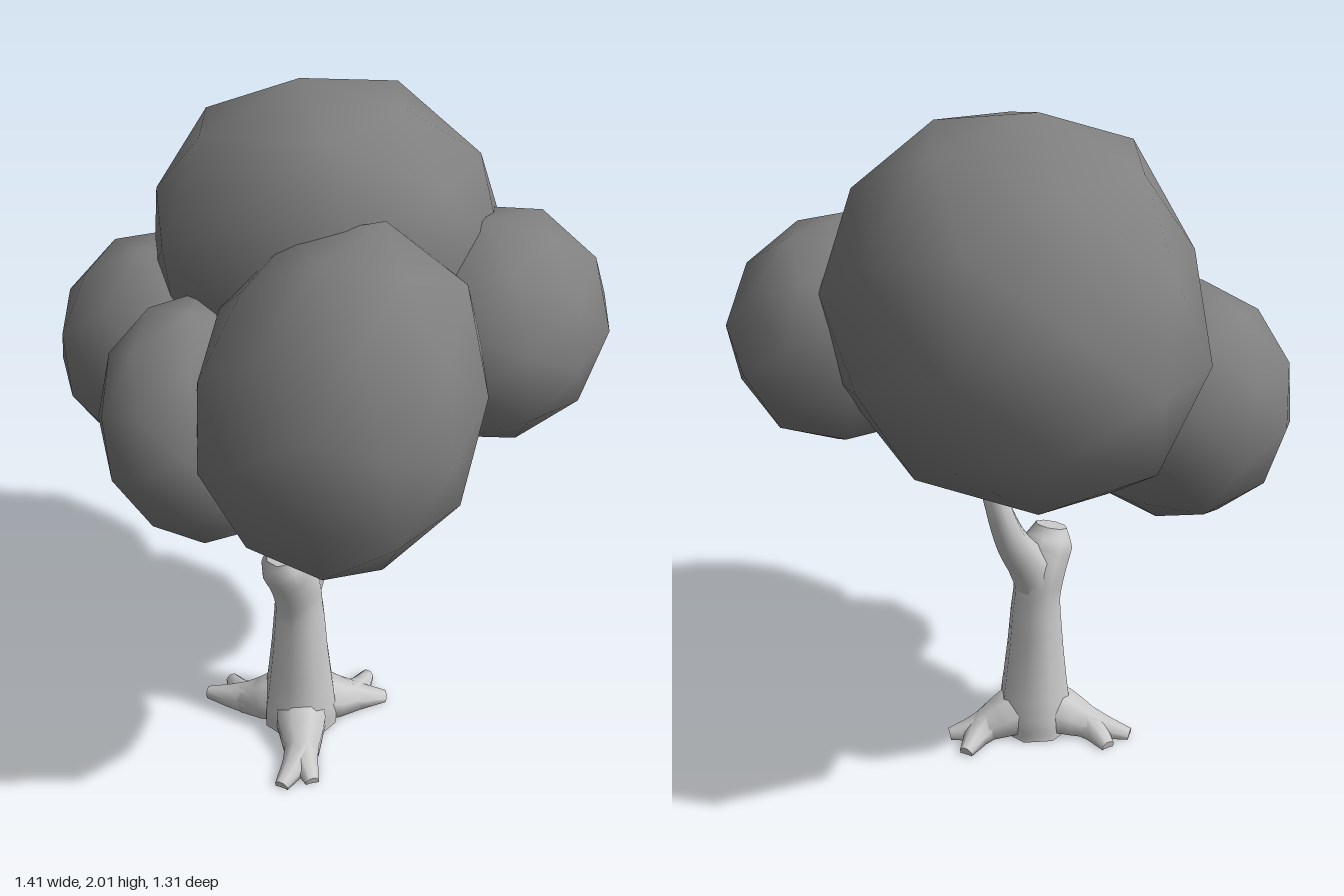
import * as THREE from 'three';
import { mergeVertices } from 'three/addons/utils/BufferGeometryUtils.js';

const bark = new THREE.MeshStandardMaterial({ color: 0xcccccc });
const leaf = new THREE.MeshStandardMaterial({ color: 0x808080 });

// Tapered limb swept through stations [x, y, z, radius], closed at both ends
function limbGeometry(stations, sides = 8, steps = 3) {
  const path = new THREE.CatmullRomCurve3(stations.map(s => new THREE.Vector3(s[0], s[1], s[2])), false, 'centripetal');
  const rings = (stations.length - 1) * steps;
  const span = path.getPoint(1).sub(path.getPoint(0));
  const ref = Math.abs(span.y) > 0.6 * span.length() ? new THREE.Vector3(0, 0, 1) : new THREE.Vector3(0, 1, 0);
  const pos = [], index = [];
  const ring = i => {
    const t = i / rings, k = Math.min(Math.floor(i / steps), stations.length - 2);
    const r = THREE.MathUtils.lerp(stations[k][3], stations[k + 1][3], i / steps - k);
    const c = path.getPoint(t), tan = path.getTangent(t);
    const u = new THREE.Vector3().crossVectors(ref, tan).normalize();
    const v = new THREE.Vector3().crossVectors(tan, u);
    for (let j = 0; j < sides; j++) {
      const a = (j + 0.5) / sides * Math.PI * 2;
      const p = c.clone().addScaledVector(u, r * Math.cos(a)).addScaledVector(v, r * Math.sin(a));
      pos.push(p.x, Math.max(0, p.y), p.z);
    }
    return c;
  };
  for (let i = 0; i <= rings; i++) {
    ring(i);
    for (let j = 0; j < sides && i < rings; j++) {
      const a = i * sides + j, b = i * sides + (j + 1) % sides;
      index.push(a, b, b + sides, a, b + sides, a + sides);
    }
  }
  // end caps on their own vertices, so their rims stay sharp
  for (const [i, flip] of [[0, true], [rings, false]]) {
    const base = pos.length / 3, c = ring(i);
    pos.push(c.x, Math.max(0, c.y), c.z);
    for (let j = 0; j < sides; j++) {
      const a = base + j, b = base + (j + 1) % sides;
      index.push(...(flip ? [b, a, base + sides] : [a, b, base + sides]));
    }
  }
  const g = new THREE.BufferGeometry();
  g.setAttribute('position', new THREE.Float32BufferAttribute(pos, 3));
  g.setIndex(index);
  g.computeVertexNormals();
  return g;
}

// Low-poly ellipsoid crown, turned before scaling; lean shears y along x and z,
// and each bulge [x, y, z, amount] swells (or flattens) the side facing that way
function crownGeometry({ at, size, turn, lean = [0, 0], bulges = [] }) {
  let g = new THREE.IcosahedronGeometry(1.02, 1);
  g.deleteAttribute('uv');
  g.deleteAttribute('normal');
  g = mergeVertices(g, 1e-4);
  g.rotateY(turn).rotateX(turn * 0.4).scale(...size);
  const p = g.attributes.position, v = new THREE.Vector3();
  for (let i = 0; i < p.count; i++) {
    v.fromBufferAttribute(p, i);
    v.y += lean[0] * v.x + lean[1] * v.z;
    const dir = v.clone().normalize();
    for (const [x, y, z, amount] of bulges) {
      const facing = Math.max(0, dir.dot(new THREE.Vector3(x, y, z).normalize()));
      v.multiplyScalar(1 + amount * facing ** 6);
    }
    p.setXYZ(i, v.x, v.y, v.z);
  }
  g.translate(...at);
  g.computeVertexNormals();
  return g;
}

export function createModel() {
  const model = new THREE.Group();
  const add = (name, geometry, material) => {
    const mesh = new THREE.Mesh(geometry, material);
    mesh.name = name;
    model.add(mesh);
  };

  // Foliage
  const crowns = {
    topCrown: { at: [-0.11, 1.51, -0.165], size: [0.54, 0.472, 0.485], turn: 0.3, lean: [0.15, 0.1],
      bulges: [[-0.1, 0.7, -0.7, 0.09], [-0.7, 0, 0.7, -0.14], [0, 0.75, 0.65, 0.07],
        [0.6, -0.6, -0.5, 0.09], [0.5, 0.1, 0.8, 0.07]] },
    frontLeftCrown: { at: [0.32, 1.358, 0.245], size: [0.37, 0.428, 0.36], turn: 0.5, lean: [0, -0.19],
      bulges: [[0.7, -0.7, 0, 0.05], [0.2, 0.7, -0.6, 0.08]] },
    frontCrown: { at: [-0.045, 1.22, 0.36], size: [0.24, 0.32, 0.295], turn: 0.2, lean: [-0.25, 0],
      bulges: [[0.8, -0.5, 0, 0.1]] },
    rightCrown: { at: [-0.395, 1.23, 0.15], size: [0.31, 0.328, 0.305], turn: 0.7 },
    backLeftCrown: { at: [0.4, 1.388, -0.32], size: [0.298, 0.318, 0.335], turn: 0.4,
      bulges: [[0.7, 0, 0.7, 0.07], [-0.7, 0, -0.7, 0.07], [-0.5, -0.6, 0.5, -0.1]] },
  };
  for (const name in crowns) add(name, crownGeometry(crowns[name]), leaf);

  // Trunk ending in a cut-off stub, and branches
  const limbs = {
    trunk: [[0.055, 0, 0.085, 0.12], [0.055, 0.06, 0.085, 0.12], [0.055, 0.13, 0.085, 0.112], [0.055, 0.3, 0.087, 0.092],
      [0.052, 0.48, 0.088, 0.076], [0.05, 0.57, 0.105, 0.08], [0.05, 0.645, 0.143, 0.078], [0.05, 0.695, 0.158, 0.05]],
    mainBranch: [[0.053, 0.5, 0.085, 0.062], [0.055, 0.6, 0.05, 0.064], [0.057, 0.68, -0.005, 0.054], [0.06, 0.75, -0.042, 0.047],
      [0.075, 0.84, -0.065, 0.04], [0.1, 0.94, -0.07, 0.038], [0.115, 1.02, -0.075, 0.027], [0.11, 1.18, -0.07, 0.016]],
    frontBranch: [[0.085, 0.86, -0.06, 0.034], [0.11, 0.92, -0.02, 0.032], [0.17, 0.965, 0.035, 0.026], [0.28, 1.03, 0.09, 0.014]],
    sideBranch: [[0.1, 0.94, -0.06, 0.026], [0, 0.98, -0.03, 0.02], [-0.15, 1.0, 0.02, 0.016], [-0.3, 1.03, 0.07, 0.012]],
    backBranch: [[0.11, 0.95, -0.08, 0.026], [0.14, 1.01, -0.14, 0.02], [0.2, 1.05, -0.22, 0.016], [0.27, 1.12, -0.28, 0.012]],
    backTwig: [[0.18, 1.04, -0.19, 0.015], [0.23, 1.08, -0.18, 0.012], [0.29, 1.13, -0.17, 0.008]],
  };
  for (const name in limbs) add(name, limbGeometry(limbs[name]), bark);

  // Forked roots: each slopes from the trunk to its knee and splits into two tips
  const roots = [
    { knee: [0.18, 0.22], tips: [[0.28, 0.285], [0.22, 0.36]] },
    { knee: [-0.1, 0.16], tips: [[-0.23, 0.215], [-0.215, 0.12]] },
    { knee: [0.14, -0.06], tips: [[0.215, -0.15], [0.11, -0.19]] },
  ];
  roots.forEach(({ knee: [kx, kz], tips }, i) => tips.forEach(([x, z], j) => {
    const mx = (kx + 0.055) / 2, mz = (kz + 0.085) / 2;
    add(`root${i + 1}${'ab'[j]}`, limbGeometry([
      [0.055, 0.09, 0.085, 0.08], [mx, 0.052, mz, 0.082], [kx, 0.025, kz, 0.056], [x, 0.006, z, 0.022],
    ], 8, 2), bark);
  }));
  return model;
}
